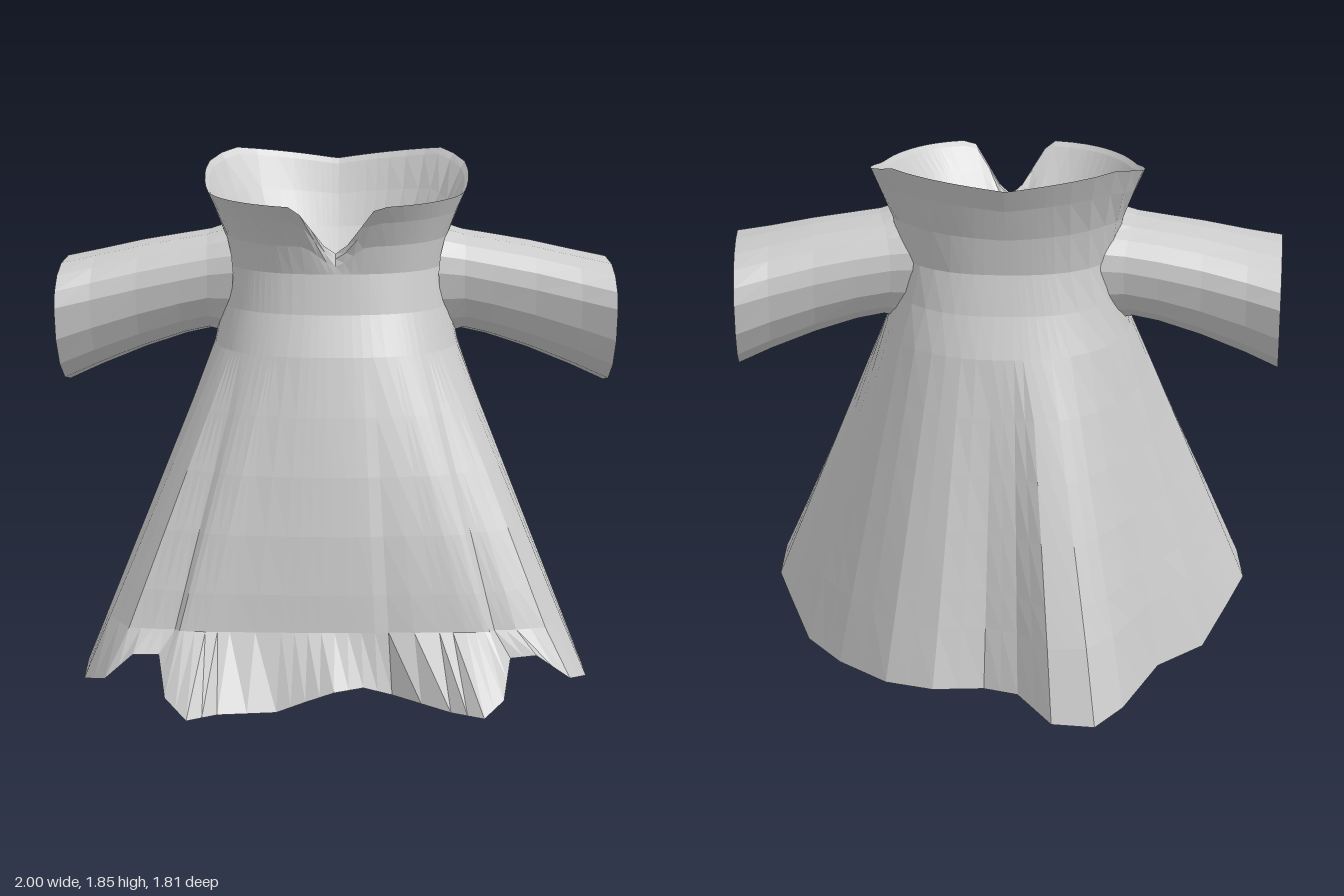
import * as THREE from 'three';

const material = new THREE.MeshStandardMaterial({ color: 0xcccccc, flatShading: true, side: THREE.DoubleSide });
const lerp = THREE.MathUtils.lerp;

// Skin a list of closed rings (arrays of [x, y, z]) into one surface
function loft(rings, name) {
  const n = rings[0].length, index = [];
  for (let i = 0; i < rings.length - 1; i++) {
    for (let j = 0; j < n; j++) {
      const a = i * n + j, b = i * n + (j + 1) % n;
      index.push(a, b, a + n, b, b + n, a + n);
    }
  }
  const geo = new THREE.BufferGeometry();
  geo.setAttribute('position', new THREE.Float32BufferAttribute(rings.flat(2), 3));
  geo.setIndex(index);
  geo.computeVertexNormals();
  const mesh = new THREE.Mesh(geo, material);
  mesh.name = name;
  return mesh;
}

// Ragged hem, walked from the front round the left side: [x, z, y]
const hemPoints = [
  [0, 0.77, 0.09], [0.1, 0.71, 0.09], [0.2, 0.66, 0.05], [0.4, 0.8, 0.03], [0.51, 0.9, 0.04],
  [0.58, 0.82, 0.08], [0.61, 0.65, 0.18], [0.7, 0.65, 0.19], [0.82, 0.62, 0.1], [0.89, 0.45, 0.06],
  [0.89, 0.22, 0.05], [0.83, 0, 0.06], [0.73, -0.3, 0.03], [0.6, -0.48, 0.03], [0.42, -0.67, 0.05],
  [0.25, -0.74, 0.06], [0.07, -0.71, 0.05], [-0.05, -0.77, 0.06], [-0.17, -0.91, 0.02],
  [-0.32, -0.91, 0.01], [-0.42, -0.8, 0.03], [-0.55, -0.5, 0.04], [-0.72, -0.3, 0.02],
  [-0.83, 0, 0.05], [-0.9, 0.23, 0.05], [-0.89, 0.47, 0.05], [-0.8, 0.64, 0.1], [-0.7, 0.65, 0.19],
  [-0.61, 0.65, 0.19], [-0.58, 0.8, 0.08], [-0.5, 0.9, 0.03], [-0.4, 0.8, 0.02], [-0.2, 0.74, 0.01],
  [-0.1, 0.75, 0.05],
];
// One column per hem point plus one halfway to the next
const columns = hemPoints.flatMap((p, i) => {
  const q = hemPoints[(i + 1) % hemPoints.length];
  return [p, p.map((v, k) => (v + q[k]) / 2)];
}).map(([x, z, y]) => ({ x, y, z, angle: Math.atan2(x, z) }));

// Point on an egg-shaped section: half width, front depth, back depth, centre z
function section(angle, w, front, back, cz) {
  const s = Math.sin(angle), c = Math.cos(angle), e = 2.4;
  const d = c > 0 ? front - cz : back + cz;
  const r = (Math.abs(s / w) ** e + Math.abs(c / d) ** e) ** (-1 / e);
  return [r * s, r * c + cz];
}

// Collar edge: high at the back, low in front, with a V notch at the throat
const notch = (angle) => Math.min(1, Math.max(0, 1.15 - Math.abs(angle) / 0.2));
const rimStops = [[0, 1.72], [0.34, 1.74], [0.67, 1.86], [1, 1.81]];
function rimHeight(angle) {
  const a = Math.abs(angle) / Math.PI;
  const i = rimStops.findIndex(([stop], k) => k > 0 && a <= stop);
  const [[a0, y0], [a1, y1]] = [rimStops[i - 1], rimStops[i]];
  return lerp(y0, y1, (a - a0) / (a1 - a0)) - 0.17 * notch(angle);
}

function makeGown() {
  const chestY = 1.2, chest = [0.44, 0.45, 0.47, 0];
  const rings = [columns.map((c) => [c.x, c.y, c.z])];
  // Skirt: straight from chest to hem, the front swelling and its tongues flaring only at the end
  for (const y of [0.27, 0.4, 0.6, 0.8, 1, chestY]) {
    const t = (chestY - y) / 1.15;
    rings.push(columns.map((c) => {
      const [x, z] = section(c.angle, ...chest);
      const swell = 0.045 * Math.sin(Math.PI * t) * Math.max(0, Math.cos(c.angle));
      return [lerp(x, c.x, t), y, lerp(z, Math.min(c.z, 0.67), t) + swell];
    }));
  }
  // Upper chest to the neck
  for (const [y, ...size] of [[1.34, 0.41, 0.385, 0.415, -0.02], [1.48, 0.39, 0.36, 0.38, -0.04]]) {
    rings.push(columns.map((c) => {
      const [x, z] = section(c.angle, ...size);
      return [x, y, z];
    }));
  }
  return loft(rings, 'gown');
}

function makeCollar() {
  // Up the outside, over the rim, and down into a rounded bowl:
  // base y, fraction up to the rim, half width, front, back, centre z
  const rows = [
    [1.48, 0, 0.39, 0.36, 0.38, -0.04],
    [1.48, 0.4, 0.41, 0.38, 0.4, -0.07],
    [1.48, 0.75, 0.45, 0.425, 0.44, -0.12],
    [1.48, 1, 0.48, 0.47, 0.48, -0.15],
    [1.46, 0.94, 0.465, 0.45, 0.465, -0.14],
    [1.44, 0.65, 0.41, 0.38, 0.42, -0.1],
    [1.43, 0.35, 0.35, 0.3, 0.36, -0.07],
    [1.43, 0.12, 0.25, 0.2, 0.27, -0.05],
    [1.42, 0, 0.13, 0.09, 0.15, -0.03],
    [1.41, 0, 0.001, -0.029, 0.031, -0.03],
  ];
  return loft(rows.map(([y, up, w, front, back, cz]) => columns.map((c) => {
    const [x, z] = section(c.angle, w, front, back, cz);
    return [x, lerp(y, rimHeight(c.angle), up), z - 0.13 * up * up * notch(c.angle)];
  })), 'collar');
}

function makeSleeve(side) {
  // Shoulder to cuff, then back inside as a domed cup:
  // x, centre y, height above, height below, depth radius, wrap round the body
  const rows = [
    [0.4, 1.46, 0.155, 0.25, 0.22, 1.6], [0.46, 1.45, 0.145, 0.22, 0.21, 0.5],
    [0.55, 1.43, 0.15, 0.22, 0.215, 0], [0.7, 1.4, 0.155, 0.24, 0.225, 0],
    [0.86, 1.365, 0.155, 0.27, 0.25, 0], [0.98, 1.34, 0.155, 0.3, 0.285, 0],
    [0.96, 1.34, 0.145, 0.28, 0.268, 0], [0.84, 1.355, 0.135, 0.22, 0.23, 0],
    [0.74, 1.37, 0.1, 0.15, 0.16, 0], [0.69, 1.375, 0.05, 0.08, 0.08, 0],
    [0.67, 1.375, 0.001, 0.001, 0.001, 0],
  ];
  const sides = 16;
  const rings = rows.map(([x, cy, up, down, rz, wrap]) => Array.from({ length: sides }, (_, i) => {
    const a = (i / sides) * Math.PI * 2;
    const s = Math.sin(a), c = Math.cos(a);
    // Squarer over the top than underneath
    const z = rz * Math.sign(s) * Math.abs(s) ** (c > 0 ? 0.75 : 1) - 0.045;
    return [side * (x + 0.08 * z - wrap * z * z), cy + c * (c > 0 ? up : down), z];
  }));
  if (side < 0) rings.forEach((ring) => ring.reverse());
  return loft(rings, side > 0 ? 'leftSleeve' : 'rightSleeve');
}

export function createModel() {
  const model = new THREE.Group();
  model.name = 'robe';
  model.add(makeGown(), makeCollar(), makeSleeve(1), makeSleeve(-1));
  return model;
}
